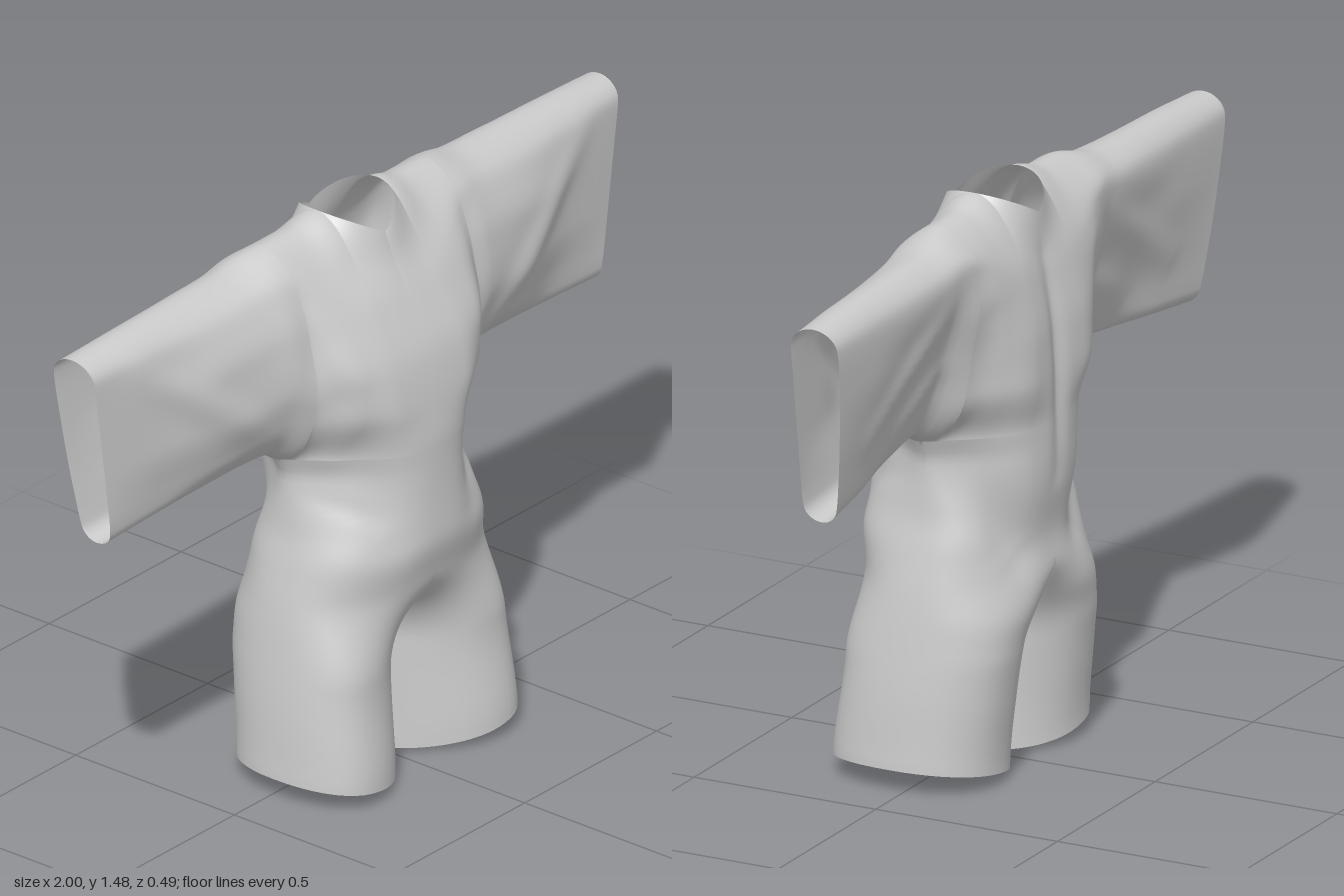
import * as THREE from 'three';

const { lerp, clamp } = THREE.MathUtils;
const smooth = (v, a, b) => { const t = clamp((v - a) / (b - a), 0, 1); return t * t * (3 - 2 * t); };

// Monotone smooth curve through (xs, ys), level at its start
function curve(xs, ys) {
  const n = xs.length;
  const sec = xs.slice(1).map((x, i) => (ys[i + 1] - ys[i]) / (x - xs[i]));
  const m = xs.map((_, i) => {
    if (i === 0) return 0;
    if (i === n - 1) return sec[n - 2];
    const a = sec[i - 1], b = sec[i];
    return a * b <= 0 ? 0 : 2 * a * b / (a + b);
  });
  return (x) => {
    let i = 0;
    while (i < n - 2 && x > xs[i + 1]) i++;
    const h = xs[i + 1] - xs[i], t = clamp((x - xs[i]) / h, 0, 1), t2 = t * t, t3 = t2 * t;
    return (2 * t3 - 3 * t2 + 1) * ys[i] + (t3 - 2 * t2 + t) * h * m[i]
      + (3 * t2 - 2 * t3) * ys[i + 1] + (t3 - t2) * h * m[i + 1];
  };
}

const ARM = 0.31, NECK = 0.115, WAIST = 0.89;

// Depth of the cloth: rows are stations across x, columns run bottom to top
const ST = [0, 0.12, 0.22, 0.31, 0.4, 0.6, 0.8, 1];
const TS = [0, 0.15, 0.4, 0.65, 0.85, 1];
const FRONT = [
  [0.235, 0.228, 0.203, 0.14, 0.085, 0.06],
  [0.235, 0.225, 0.2, 0.135, 0.07, 0.055],
  [0.2, 0.195, 0.18, 0.12, 0.055, 0.01],
  [0.085, 0.09, 0.11, 0.09, 0.045, 0],
  [0.045, 0.055, 0.085, 0.07, 0.03, -0.02],
  [-0.01, 0.015, 0.045, 0.045, 0.015, -0.03],
  [-0.03, -0.02, -0.003, -0.003, -0.01, -0.03],
  [-0.035, -0.03, -0.03, -0.03, -0.03, -0.035],
];
const BACK = [
  [-0.24, -0.24, -0.232, -0.208, -0.185, -0.18],
  [-0.24, -0.245, -0.24, -0.215, -0.187, -0.175],
  [-0.22, -0.22, -0.22, -0.21, -0.185, -0.16],
  [-0.13, -0.14, -0.165, -0.185, -0.18, -0.14],
  [-0.06, -0.08, -0.118, -0.155, -0.172, -0.14],
  [-0.07, -0.085, -0.12, -0.15, -0.168, -0.15],
  [-0.1, -0.11, -0.135, -0.157, -0.163, -0.15],
  [-0.12, -0.13, -0.145, -0.155, -0.16, -0.155],
];
const sheet = (rows) => {
  const cols = TS.map((_, j) => curve(ST, rows.map((r) => r[j])));
  return (x, t) => curve(TS, cols.map((c) => c(x)))(t);
};
const depth = [sheet(FRONT), sheet(BACK)];
const midBottom = curve([0, 0.31, 0.4, 0.6, 1], [-0.02, -0.02, -0.03, -0.045, -0.08]);
const midTop = curve([0, 0.31, 0.4, 1], [-0.06, -0.07, -0.09, -0.095]);
const yBottom = curve([0, 0.31, 0.39, 0.6, 1], [WAIST, WAIST, 0.925, 0.91, 0.88]);
const yShoulder = curve([0.115, 0.2, 0.31, 0.45, 0.6, 0.8, 1], [1.475, 1.455, 1.45, 1.42, 1.415, 1.41, 1.4]);
const yTop = (x) => (x < NECK ? lerp(1.41, 1.475, x / NECK) : yShoulder(x));

// Lower body: half width, front and back by height
const halfWidth = curve([0, 0.06, 0.2, 0.4, 0.5, 0.6, 0.7, 0.83, 0.89],
  [0.383, 0.38, 0.372, 0.35, 0.335, 0.315, 0.295, 0.288, 0.31]);
const lower = [
  curve([0, 0.3, 0.5, 0.65, 0.75, 0.89], [0.237, 0.21, 0.215, 0.243, 0.24, 0.235]),
  curve([0, 0.2, 0.35, 0.44, 0.6, 0.75, 0.89], [-0.183, -0.2, -0.22, -0.238, -0.217, -0.23, -0.24]),
];

// Soft folds: a ridge or valley along a line segment
function fold(x, y, ax, ay, bx, by, w, amp) {
  const dx = bx - ax, dy = by - ay;
  const t = clamp(((x - ax) * dx + (y - ay) * dy) / (dx * dx + dy * dy), 0, 1);
  const d = Math.hypot(x - ax - t * dx, y - ay - t * dy);
  return amp * Math.exp(-d * d / (w * w)) * (0.4 + 0.6 * Math.sin(Math.PI * t));
}
const relief = [
  (x, y) => fold(x, y, 0.24, 1.05, 0.16, 0.68, 0.065, -0.035)
    + fold(x, y, 0.84, 1.32, 0.42, 1.0, 0.05, 0.014)
    + fold(x, y, 0.31, 1.36, 0.31, 1.12, 0.03, -0.012)
    + fold(x, y, 0.29, 0.8, 0.17, 0.73, 0.02, -0.01),
  (x, y) => -(fold(x, y, 0, 1.3, 0, 0.75, 0.03, -0.014)
    + fold(x, y, 0.29, 0.88, 0.15, 0.58, 0.06, -0.045)
    + fold(x, y, 0.27, 1.2, 0.22, 0.85, 0.05, -0.02)
    + fold(x, y, 0.8, 1.05, 0.42, 1.28, 0.04, 0.012)
    + fold(x, y, 0.6, 1.0, 0.38, 1.12, 0.035, 0.01)),
];

// 1 where front and back are fully apart, 0 where they meet
const open = (u, p) => Math.pow(Math.max(0, 1 - Math.pow(Math.min(u, 1), p)), 1 / p);

// Rounds off an edge at distance d over radius r; o is how far the edge is open
function edgeRound(d, r, o, easing) {
  const k = Math.min(d / r, 1);
  const grow = lerp(1 - (1 - k) * (1 - k), smooth(k, 0, 1), easing);
  return Math.sqrt(o * o + grow * (1 - o * o));
}

// Point on the bodice or sleeve
function upperPoint(x, t, side) {
  const mid = lerp(midBottom(x), midTop(x), t);
  const lowR = lerp(0.24, 0.07, smooth(x, 0.3, 0.8)), topR = lerp(0.3, 0.1, smooth(x, 0.12, 0.4));
  const waist = open(x / ARM, 2);
  const c = edgeRound(t, lowR, waist, Math.min(1, waist * 2)) * edgeRound(1 - t, topR, open(x / NECK, 2), 0);
  const base = lerp(1.45, 1.405, smooth(x, 0.25, 0.7));
  const y = lerp(yBottom(x), base, t) + (yTop(x) - base) * Math.pow(t, 6);
  const z = mid + (depth[side](x, t) + relief[side](x, y) - mid) * c;
  return [x - 0.075 * (1 - t) * Math.max(0, (x - ARM) / (1 - ARM)), y, z];
}

// Point on the waist, hips and leg; the two legs part below the hips
function lowerPoint(u, v, side) {
  const Y = lerp(WAIST, 0, v), hw = halfWidth(Y);
  const x = lerp(0.004 * (1 - smooth(Y, 0.1, 0.3)), hw, u);
  const y = Y + (yBottom(u * ARM) - WAIST) * Math.pow(1 - v, 8) + 0.06 * u * v * v * v;
  const blend = 1 - smooth(Y, WAIST - 0.3, WAIST);
  const edge = lerp(depth[side](u * ARM, 0), lower[side](Y), blend);
  const mid = lerp(0.025, -0.02, smooth(Y, 0.1, 0.8));
  const parted = 1 - smooth(Y, 0.3, 0.53);
  const leg = open(Math.abs(2 * Math.pow(u, side ? 1.1 : 1.5) - 1), 2.2);
  const c = lerp(open(u, lerp(2, 2.4, blend)), leg, parted);
  return [x, y, mid + (edge + relief[side](x, y) - mid) * c];
}

const ease = (a, b, n) => Array.from({ length: n + 1 }, (_, i) => a + (b - a) * (1 - Math.cos(Math.PI * i / n)) / 2);
const even = (a, b, n) => Array.from({ length: n + 1 }, (_, i) => a + (b - a) * i / n);

export function createModel() {
  const group = new THREE.Group();
  const material = new THREE.MeshStandardMaterial({ color: 0xcccccc, side: THREE.DoubleSide });
  const positions = [], all = [], lookup = new Map(), parts = {};

  // All panels share welded vertices so the shading runs on across seams
  const vertex = (p) => {
    const key = p.map((n) => Math.round(n * 1e5)).join();
    if (!lookup.has(key)) {
      lookup.set(key, positions.length / 3);
      positions.push(...p);
    }
    return lookup.get(key);
  };
  const panel = (name, us, vs, point, mirror, flip) => {
    const index = (parts[name] ??= []);
    const ids = us.map((u) => vs.map((v) => {
      const [x, y, z] = point(u, v);
      return vertex([mirror * x, y, z]);
    }));
    const tri = (a, b, c) => {
      if (a === b || b === c || a === c) return;
      index.push(...(flip ? [a, c, b] : [a, b, c]));
    };
    for (let i = 0; i < us.length - 1; i++) {
      for (let j = 0; j < vs.length - 1; j++) {
        const a = ids[i][j], b = ids[i + 1][j], c = ids[i + 1][j + 1], d = ids[i][j + 1];
        tri(a, b, c);
        tri(a, c, d);
      }
    }
  };

  const bodyX = [...ease(0, NECK, 14), ...ease(NECK, ARM, 18).slice(1)];
  const sleeveX = even(ARM, 1, 30), heights = ease(0, 1, 40), drops = even(0, 1, 50);
  for (const mirror of [1, -1]) {
    for (const side of [0, 1]) {
      const flip = (mirror < 0) !== (side === 1);
      const upper = (x, t) => upperPoint(x, t, side);
      panel('bodice', bodyX, heights, upper, mirror, flip);
      panel(mirror > 0 ? 'leftSleeve' : 'rightSleeve', sleeveX, heights, upper, mirror, flip);
      panel('shorts', bodyX.map((x) => x / ARM), drops, (u, v) => lowerPoint(u, v, side), mirror, !flip);
    }
  }

  // One set of normals, then one mesh per part
  const whole = new THREE.BufferGeometry();
  whole.setAttribute('position', new THREE.Float32BufferAttribute(positions, 3));
  for (const index of Object.values(parts)) for (const i of index) all.push(i);
  whole.setIndex(all);
  whole.computeVertexNormals();
  for (const [name, index] of Object.entries(parts)) {
    const geometry = new THREE.BufferGeometry();
    geometry.setAttribute('position', whole.attributes.position);
    geometry.setAttribute('normal', whole.attributes.normal);
    geometry.setIndex(index);
    const mesh = new THREE.Mesh(geometry, material);
    mesh.name = name;
    group.add(mesh);
  }
  return group;
}
